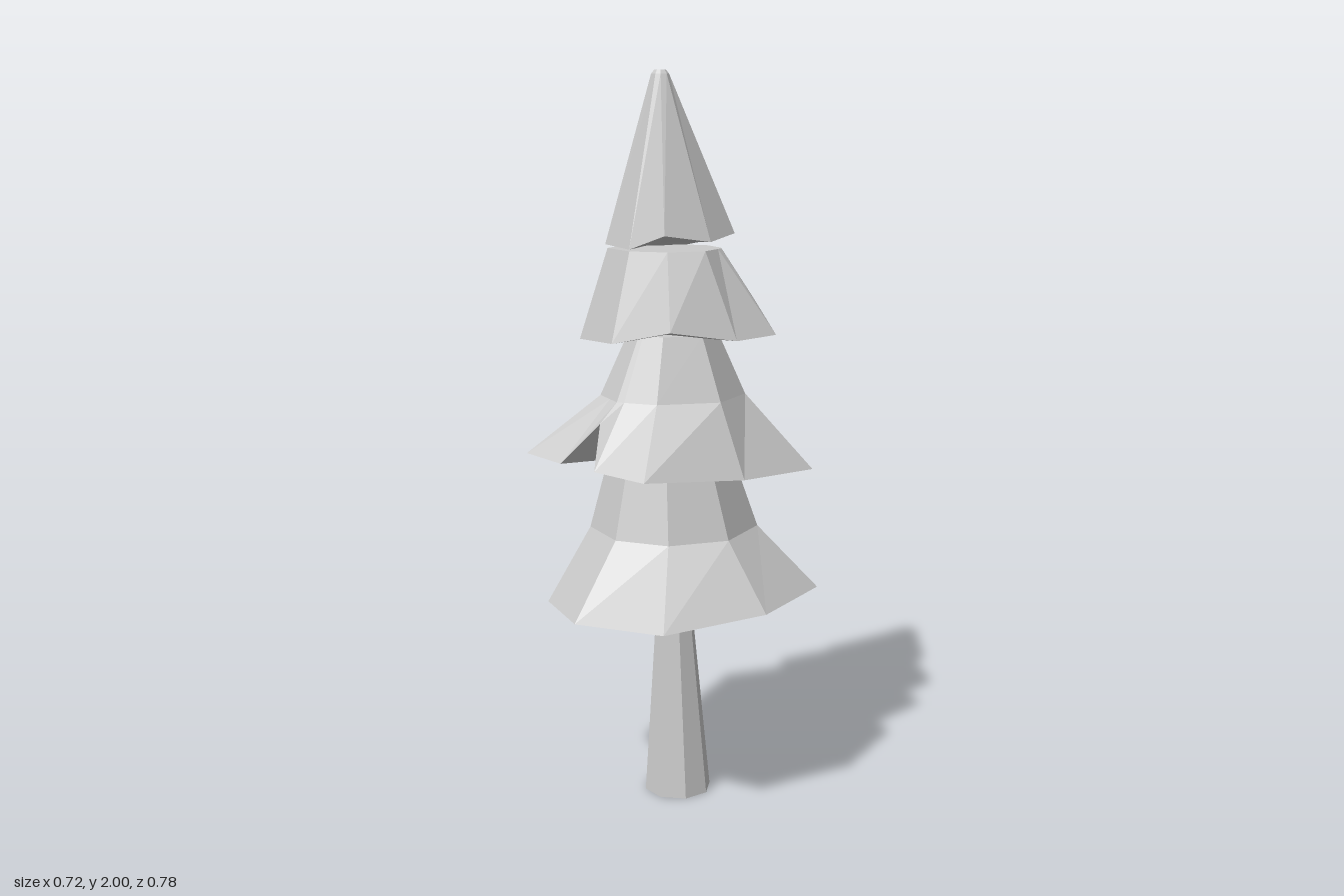
import * as THREE from 'three';

const material = new THREE.MeshStandardMaterial({ color: 0xcccccc, flatShading: true, side: THREE.DoubleSide });

// Radius of a regular octagon (corner radius r) in direction a
function octagon(r, a) {
  const step = Math.PI / 4;
  const local = ((a % step) + step) % step - step / 2;
  return r * Math.cos(step / 2) / Math.cos(local);
}

// Skirt of branches: an irregular rim [x, y, z] lofted through octagonal
// rings [cx, y, cz, r], closed at the top and underneath.
function branchTier(name, rim, rings) {
  const [ax, , az] = rings[0];
  const angles = rim.map(([x, , z]) => Math.atan2(z - az, x - ax));
  const loops = [rim, ...rings.map(([cx, y, cz, r]) => angles.map((a) => {
    const q = octagon(r, a);
    return [cx + q * Math.cos(a), y, cz + q * Math.sin(a)];
  }))];
  const n = rim.length;
  const heights = rim.map((p) => p[1]).sort((a, b) => a - b);
  const last = rings[rings.length - 1];
  const base = [ax, heights[n >> 1], az];
  const cap = [last[0], last[1], last[2]];
  const out = [];
  for (let i = 0; i < n; i++) {
    const j = (i + 1) % n;
    for (let k = 0; k + 1 < loops.length; k++) {
      const lo = loops[k], up = loops[k + 1];
      out.push(...lo[i], ...up[i], ...lo[j], ...lo[j], ...up[i], ...up[j]);
    }
    const top = loops[loops.length - 1];
    out.push(...top[i], ...cap, ...top[j]);
    out.push(...rim[i], ...rim[j], ...base);
  }
  const geometry = new THREE.BufferGeometry();
  geometry.setAttribute('position', new THREE.Float32BufferAttribute(out, 3));
  geometry.computeVertexNormals();
  const mesh = new THREE.Mesh(geometry, material);
  mesh.name = name;
  return mesh;
}

export function createModel() {
  const tree = new THREE.Group();
  tree.name = 'pineTree';

  // Tapered trunk, leaning very slightly, open at the foot
  const trunkGeometry = new THREE.CylinderGeometry(0.046, 0.094, 0.6, 8, 1, true);
  trunkGeometry.rotateY(Math.PI / 8 * 0.6).translate(0, 0.3, 0);
  const p = trunkGeometry.attributes.position;
  for (let i = 0; i < p.count; i++) {
    p.setX(i, p.getX(i) - 0.012 * p.getY(i));
    p.setZ(i, p.getZ(i) + 0.015 * p.getY(i));
  }
  const trunk = new THREE.Mesh(trunkGeometry, material);
  trunk.name = 'trunk';
  tree.add(trunk);

  // Rims run from +x round by +z; each of the three skirts has one raised notch
  const lowY = (x) => 0.575 + 0.07 * x;
  const lowRim = [[0.36, 0.035], [0.28, 0.335], [0.005, 0.39], [-0.24, 0.27], [-0.34, 0.03],
    [-0.30, -0.205], [-0.21, -0.215, 0.72], [-0.225, -0.305], [-0.02, -0.395], [0.28, -0.27]];
  tree.add(branchTier('lowerBranches',
    lowRim.map(([x, z, y]) => [x, y ?? lowY(x), z]),
    [[-0.018, 0.77, 0, 0.238], [-0.018, 0.97, 0.012, 0.175]]));

  const midY = (x, z) => 0.955 - 0.04 * x + 0.06 * z;
  const midRim = [[0.27, 0.025], [0.175, 0.30], [0.01, 0.32], [-0.022, 0.268, 1.09], [-0.11, 0.33],
    [-0.26, 0.32], [-0.36, 0.025], [-0.27, -0.20], [-0.02, -0.375], [0.26, -0.265]];
  tree.add(branchTier('middleBranches',
    midRim.map(([x, z, y]) => [x, y ?? midY(x, z), z]),
    [[-0.02, 1.14, 0.005, 0.203], [-0.012, 1.31, 0.01, 0.125]]));

  tree.add(branchTier('upperBranches', [
    [0.24, 1.31, 0.025], [0.195, 1.345, 0.225], [-0.005, 1.3, 0.24], [-0.195, 1.29, 0.18],
    [-0.275, 1.285, 0.025], [-0.23, 1.285, -0.16], [-0.005, 1.29, -0.265], [0.155, 1.3, -0.20],
    [0.15, 1.4, -0.14], [0.23, 1.31, -0.14],
  ], [[-0.03, 1.535, 0.018, 0.155]]));

  // Pointed crown with a small blunt tip
  tree.add(branchTier('crown', [
    [0.145, 1.56, 0.025], [0.11, 1.58, 0.16], [-0.01, 1.54, 0.17], [-0.145, 1.545, 0.13],
    [-0.2, 1.535, 0.025], [-0.18, 1.515, -0.11], [-0.02, 1.55, -0.165], [0.11, 1.575, -0.105],
  ], [[-0.04, 1.99, 0.025, 0.024], [-0.04, 2, 0.025, 0.016]]));

  return tree;
}
